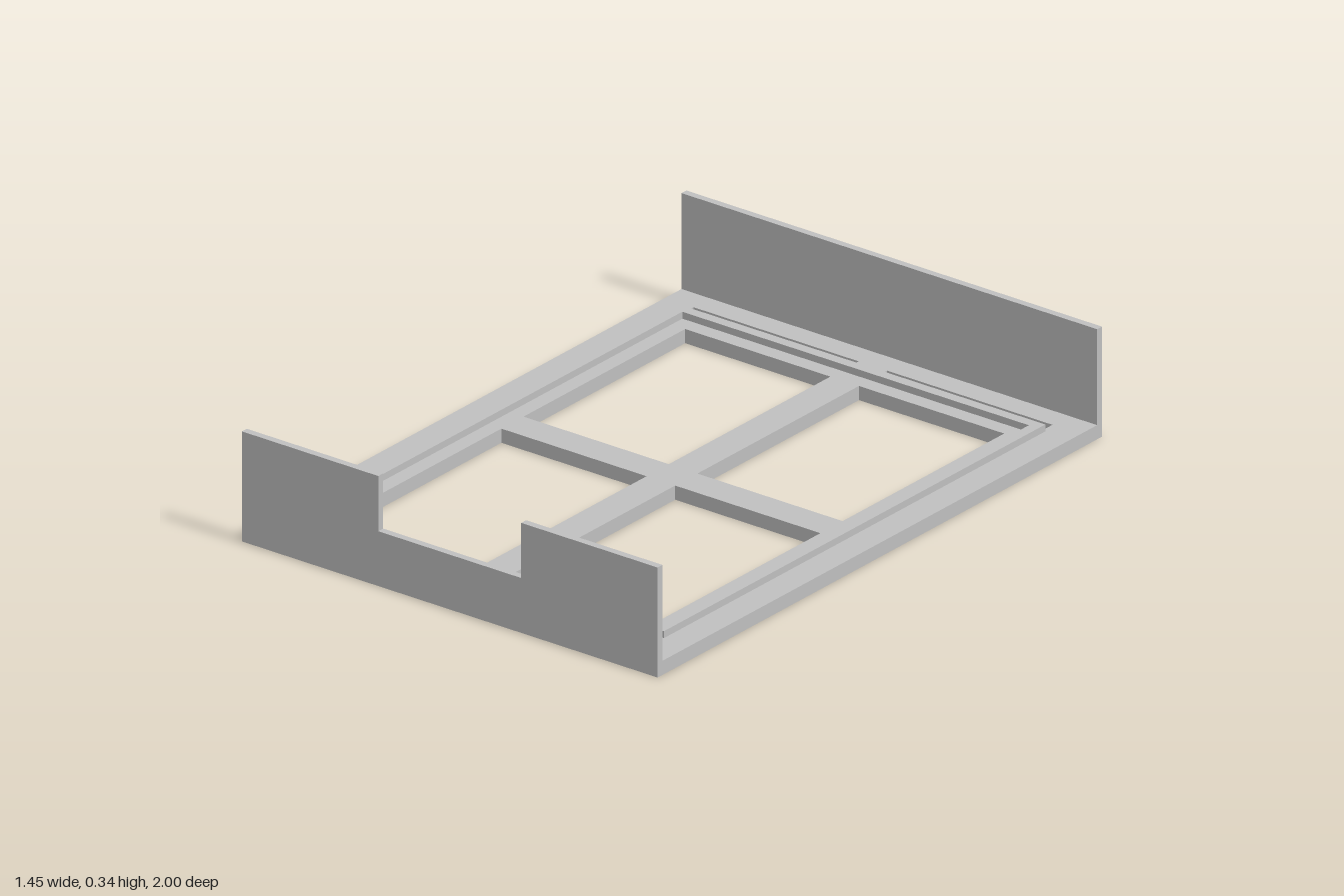
import * as THREE from 'three';

// Rectangle outline from two corners
function trace(target, x0, y0, x1, y1) {
  target.moveTo(x0, y0);
  target.lineTo(x1, y0);
  target.lineTo(x1, y1);
  target.lineTo(x0, y1);
  target.closePath();
  return target;
}
const rect = (...c) => trace(new THREE.Shape(), ...c);
const hole = (...c) => trace(new THREE.Path(), ...c);

export function createModel() {
  const W = 0.727, L = 1, base = 0.043, rimTop = 0.064, wallTop = 0.335, wall = 0.022;
  const model = new THREE.Group();
  model.name = 'windowTray';
  const grey = new THREE.MeshStandardMaterial({ color: 0xbfbfbf });
  grey.name = 'grey';

  const add = (name, shape, depth) => {
    const geo = new THREE.ExtrudeGeometry(shape, { depth, bevelEnabled: false });
    const mesh = new THREE.Mesh(geo, grey);
    mesh.name = name;
    model.add(mesh);
    return mesh;
  };

  // Base plate with four windows and four narrow slots
  const plate = rect(-W, -L, W, L);
  for (const sx of [-1, 1]) {
    for (const sz of [-1, 1]) {
      plate.holes.push(hole(sx * 0.05, sz * 0.05, sx * 0.558, sz * 0.777));
      plate.holes.push(hole(sx * 0.05, sz * 0.873, sx * 0.628, sz * 0.904));
    }
  }
  const basePlate = add('basePlate', plate, base);
  basePlate.rotation.x = -Math.PI / 2;

  // Raised rim around the windows
  const ring = rect(-0.639, -0.858, 0.639, 0.858);
  ring.holes.push(hole(-0.606, -0.826, 0.606, 0.826));
  const rim = add('raisedRim', ring, rimTop - base);
  rim.rotation.x = -Math.PI / 2;
  rim.position.y = base;

  // Back wall
  add('backWall', rect(-W, 0, W, wallTop), wall).position.z = -L;

  // Front wall with a central notch
  const notched = new THREE.Shape([
    [-W, 0], [W, 0], [W, wallTop], [0.25, wallTop],
    [0.25, 0.167], [-0.25, 0.167], [-0.25, wallTop], [-W, wallTop],
  ].map(([x, y]) => new THREE.Vector2(x, y)));
  add('frontWall', notched, wall).position.z = L - wall;

  return model;
}
